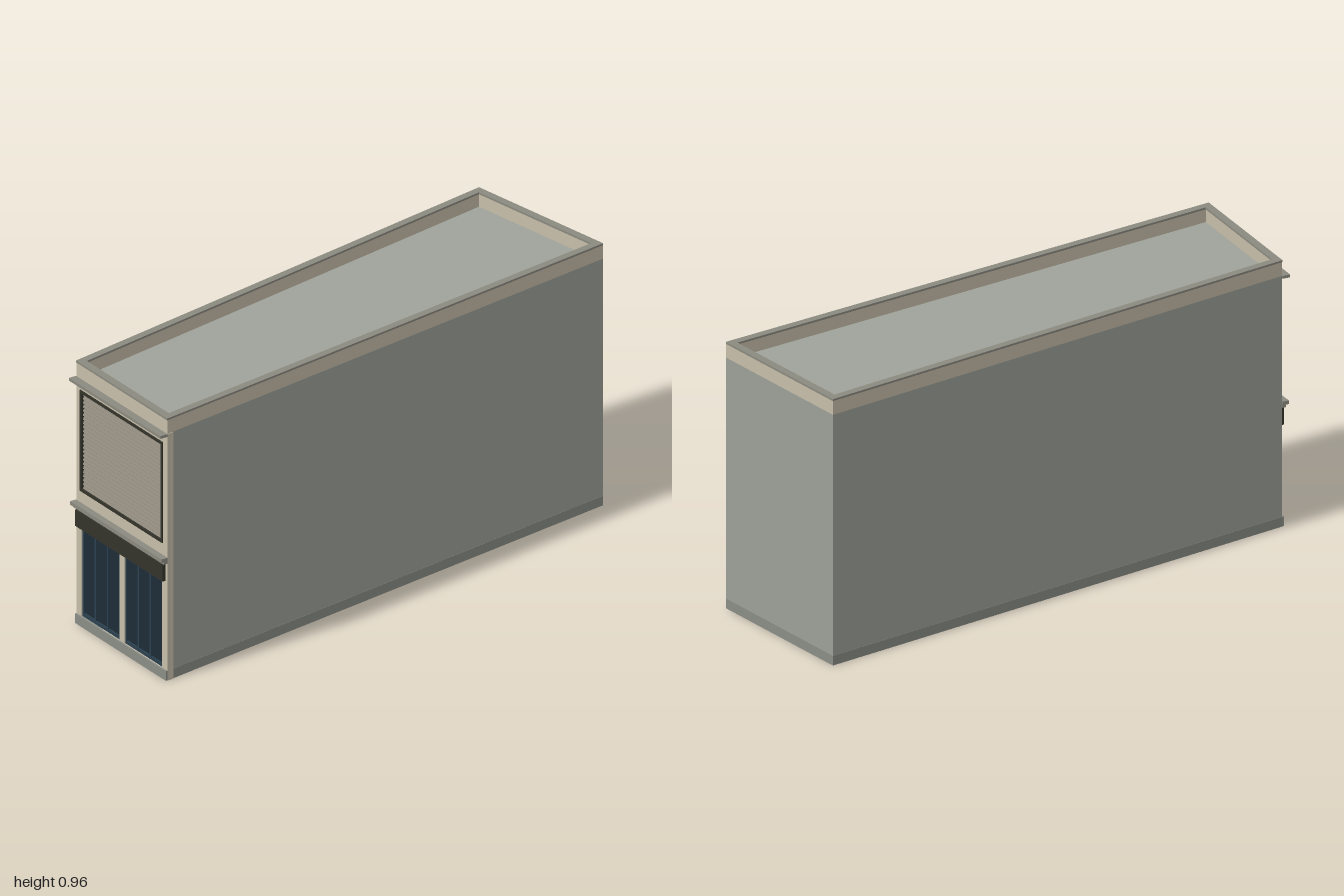
import * as THREE from 'three';

const mat = (color, side = THREE.FrontSide) =>
  new THREE.MeshStandardMaterial({ color, side, flatShading: true });
const WALL = mat(0x9da198), BEIGE = mat(0xc6bea9), TRIM = mat(0x8b8a80), PLINTH = mat(0x8a8d86);
const ROOF = mat(0xa0a39a, THREE.DoubleSide), DARK = mat(0x33332a), GLASS = mat(0x1d2c38);
const FRAME = mat(0x2b4150), SLAT = mat(0x8f8a7c);

// footprint corners [x, z]: facade back end, far back, far front, facade front end
const PLAN = [[-0.97, 0.04], [0.815, -0.588], [0.997, -0.02], [-0.893, 0.575]];

// moves every edge of a polygon inwards by d and intersects the neighbours
function inset(points, d) {
  const n = points.length;
  const lines = points.map((p, i) => {
    const q = points[(i + 1) % n];
    const len = Math.hypot(q[0] - p[0], q[1] - p[1]);
    const dir = [(q[0] - p[0]) / len, (q[1] - p[1]) / len];
    return { p: [p[0] - dir[1] * d, p[1] + dir[0] * d], dir };
  });
  return lines.map((b, i) => {
    const a = lines[(i + n - 1) % n];
    const cross = a.dir[0] * b.dir[1] - a.dir[1] * b.dir[0];
    const t = ((b.p[0] - a.p[0]) * b.dir[1] - (b.p[1] - a.p[1]) * b.dir[0]) / cross;
    return [a.p[0] + a.dir[0] * t, a.p[1] + a.dir[1] * t];
  });
}

const toVectors = (pts) => pts.map(([x, z]) => new THREE.Vector2(x, z));

// upright prism over a plan outline, from y0 to y1
function prism(name, outline, y0, y1, material, hole) {
  const shape = new THREE.Shape(toVectors(outline));
  if (hole) shape.holes.push(new THREE.Path(toVectors(hole)));
  const geo = new THREE.ExtrudeGeometry(shape, { depth: y1 - y0, bevelEnabled: false });
  geo.rotateX(Math.PI / 2).translate(0, y1, 0);
  const mesh = new THREE.Mesh(geo, material);
  mesh.name = name;
  return mesh;
}

// box given by its limits along the facade, in height and in depth
function block(name, x0, x1, y0, y1, z0, z1, material) {
  const mesh = new THREE.Mesh(new THREE.BoxGeometry(x1 - x0, y1 - y0, z1 - z0), material);
  mesh.position.set((x0 + x1) / 2, (y0 + y1) / 2, (z0 + z1) / 2);
  mesh.name = name;
  return mesh;
}

function rectPath(x0, x1, y0, y1) {
  return new THREE.Path(toVectors([[x0, y0], [x0, y1], [x1, y1], [x1, y0]]));
}

// street facade: x runs along it, z points outwards
function createFacade(width) {
  const g = new THREE.Group();
  g.name = 'facade';
  const mid = width / 2;
  const bays = [[0.03, mid - 0.015], [mid + 0.015, width - 0.03]];
  const upper = [0.03, width - 0.03, 0.5, 0.86];

  // wall with shop bays and the upper louvre opening
  const shape = new THREE.Shape(toVectors([[0, 0], [width, 0], [width, 0.905], [0, 0.905]]));
  bays.forEach(([a, b]) => shape.holes.push(rectPath(a, b, 0.035, 0.36)));
  shape.holes.push(rectPath(...upper));
  const wall = new THREE.Mesh(new THREE.ExtrudeGeometry(shape, { depth: 0.02, bevelEnabled: false }), BEIGE);
  wall.position.z = -0.02;
  wall.name = 'facadeWall';
  g.add(wall);

  // shop windows with slim frames
  for (const [a, b] of bays) {
    g.add(block('shopGlass', a, b, 0.035, 0.36, -0.016, -0.01, GLASS));
    for (let i = 0; i <= 3; i++) {
      const x = a + 0.004 + (b - a - 0.008) * i / 3;
      g.add(block('shopMullion', x - 0.004, x + 0.004, 0.035, 0.36, -0.019, -0.004, FRAME));
    }
    g.add(block('shopSill', a, b, 0.035, 0.047, -0.019, -0.004, FRAME));
    g.add(block('shopHead', a, b, 0.348, 0.36, -0.019, -0.004, FRAME));
  }
  g.add(block('facadePlinth', 0, width, 0, 0.035, -0.02, 0.006, PLINTH));
  g.add(block('fascia', 0.01, width - 0.01, 0.362, 0.422, 0, 0.012, DARK));

  // upper louvres in a raised frame
  const [x0, x1, y0, y1] = upper;
  g.add(block('louvreBack', x0, x1, y0, y1, -0.019, -0.014, DARK));
  const count = 24;
  for (let i = 0; i < count; i++) {
    const y = y0 + (y1 - y0) * (i + 0.5) / count;
    const slat = block('louvreSlat', x0, x1, y - 0.0055, y + 0.0055, -0.008, -0.004, SLAT);
    slat.rotation.x = -0.45;
    g.add(slat);
  }
  for (const x of [x0, x1]) g.add(block('louvreJamb', x - 0.005, x + 0.005, y0, y1, -0.014, 0.004, DARK));
  for (const y of [y0, y1]) g.add(block('louvreRail', x0 - 0.005, x1 + 0.005, y - 0.005, y + 0.005, -0.014, 0.004, DARK));

  // projecting ledges
  g.add(block('lowerLedge', 0, width, 0.428, 0.438, 0, 0.014, TRIM));
  g.add(block('lowerLedgeCap', -0.002, width + 0.002, 0.438, 0.451, 0, 0.024, TRIM));
  g.add(block('upperLedge', -0.002, width + 0.002, 0.895, 0.905, 0, 0.029, TRIM));
  return g;
}

export function createModel() {
  const model = new THREE.Group();
  model.name = 'terraceBuilding';
  const inner = inset(PLAN, 0.018);

  // plain walls on three sides, open underneath
  model.add(prism('sideWalls', [...PLAN, ...[...inner].reverse()], 0, 0.905, WALL));
  const out = inset(PLAN, -0.001), deep = inset(PLAN, 0.022);
  model.add(prism('plinth', [...out, ...[...deep].reverse()], 0, 0.035, PLINTH));

  // parapet, coping and sunken roof
  model.add(prism('parapet', PLAN, 0.905, 0.955, BEIGE, inset(PLAN, 0.025)));
  model.add(prism('coping', inset(PLAN, -0.001), 0.955, 0.962, TRIM, inset(PLAN, 0.027)));
  model.add(prism('roof', inset(PLAN, 0.01), 0.895, 0.908, ROOF));

  // facade
  const [d, , b, c] = PLAN;
  const facade = createFacade(Math.hypot(c[0] - d[0], c[1] - d[1]));
  facade.position.set(d[0], 0, d[1]);
  facade.rotation.y = Math.atan2(d[1] - c[1], c[0] - d[0]);
  model.add(facade);

  // pale corner return on the long front wall
  const len = Math.hypot(b[0] - c[0], b[1] - c[1]);
  const ux = (b[0] - c[0]) / len, uz = (b[1] - c[1]) / len;
  const at = (s, o) => [c[0] + ux * s - uz * o, c[1] + uz * s + ux * o];
  model.add(prism('cornerReturn', [at(0, 0.002), at(0.026, 0.002), at(0.026, -0.01), at(0.002, -0.01)], 0, 0.905, BEIGE));
  return model;
}
